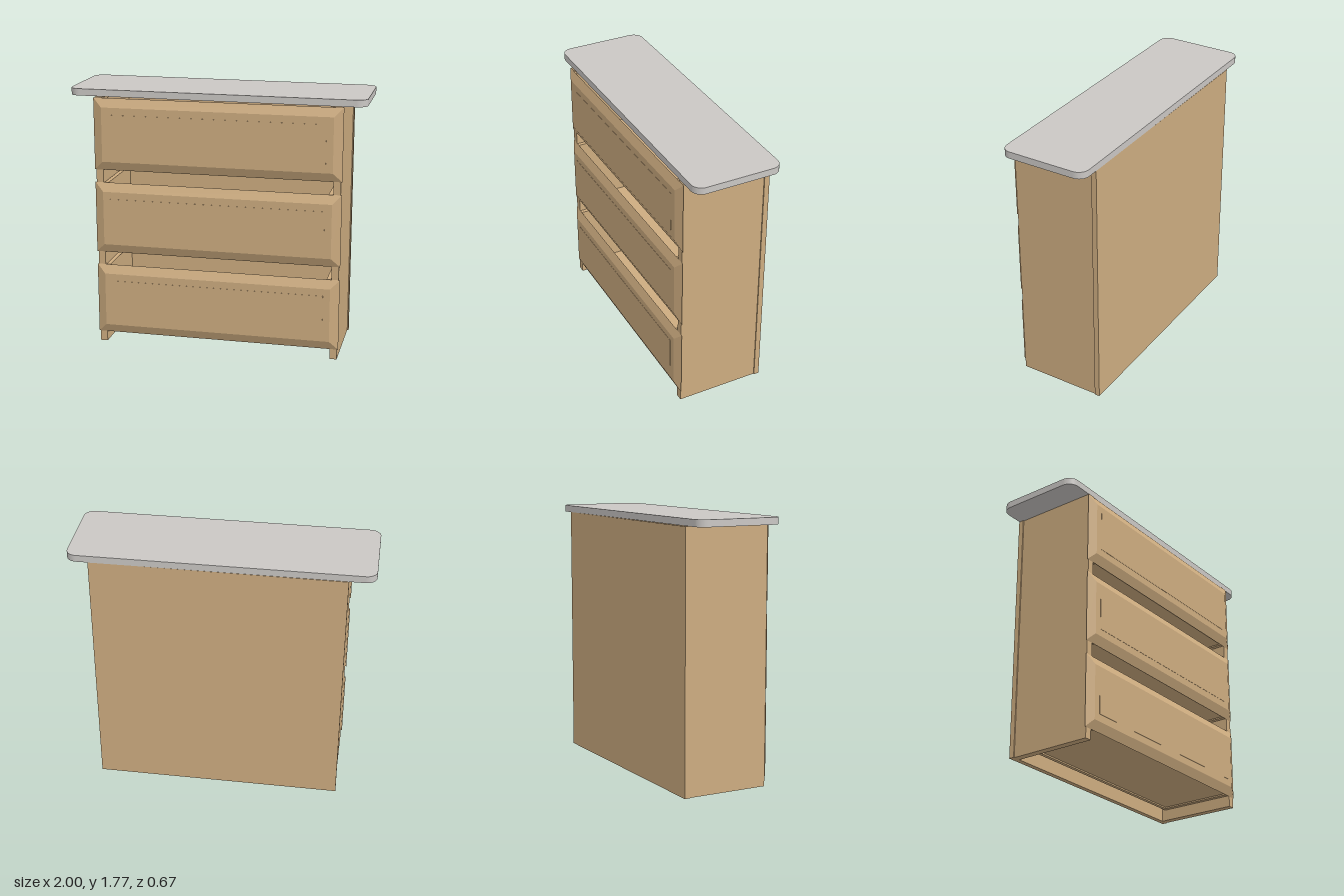
import * as THREE from 'three';

export function createModel() {
  const model = new THREE.Group();
  model.name = 'chestOfDrawers';
  const wood = new THREE.MeshStandardMaterial({ color: 0xcdac80 });
  wood.name = 'wood';
  const stone = new THREE.MeshStandardMaterial({ color: 0xcac7c4 });
  stone.name = 'paleStone';

  // the whole piece stands at a slight turn
  const body = new THREE.Group();
  body.name = 'body';
  body.rotation.y = -0.025;
  model.add(body);

  const CX = 0.0135; // middle of the cabinet

  // box given by its limits
  function board(name, x0, x1, y0, y1, z0, z1, parent = body) {
    const mesh = new THREE.Mesh(new THREE.BoxGeometry(x1 - x0, y1 - y0, z1 - z0), wood);
    mesh.position.set((x0 + x1) / 2, (y0 + y1) / 2, (z0 + z1) / 2);
    mesh.name = name;
    parent.add(mesh);
    return mesh;
  }

  // carcass
  board('rightSide', CX - 0.826, CX - 0.778, 0, 1.716, -0.277, 0.289);
  board('leftSide', CX + 0.778, CX + 0.826, 0, 1.716, -0.277, 0.289);
  board('backPanel', CX - 0.833, CX + 0.833, 0, 1.716, -0.3125, -0.277);

  // bevelled drawer front: the forward corners of a box are drawn inward
  function bevelledFront() {
    const w = 1.67, h = 0.488, d = 0.027, inset = 0.06;
    const g = new THREE.BoxGeometry(w, h, d).toNonIndexed();
    const p = g.attributes.position;
    for (let i = 0; i < p.count; i++) {
      if (p.getZ(i) > 0) {
        p.setX(i, p.getX(i) - Math.sign(p.getX(i)) * inset);
        p.setY(i, p.getY(i) - Math.sign(p.getY(i)) * inset);
      }
    }
    g.computeVertexNormals();
    return g;
  }

  // three drawers with open boxes behind their fronts
  [0.071, 0.649, 1.224].forEach((y) => {
    const drawer = new THREE.Group();
    drawer.name = 'drawer';
    drawer.position.set(CX, y, 0);
    body.add(drawer);

    const front = new THREE.Mesh(bevelledFront(), wood);
    front.name = 'drawerFront';
    front.position.set(0, 0.244, 0.3025);
    drawer.add(front);

    board('drawerPanel', -0.728, 0.728, 0.109, 0.379, 0.315, 0.3175, drawer);
    for (const s of [-1, 1]) {
      const x = s * 0.76;
      board('drawerSide', x - 0.014, x + 0.014, 0.005, 0.486, -0.25, 0.289, drawer);
    }
    board('drawerBack', -0.746, 0.746, 0.005, 0.486, -0.25, -0.225, drawer);
    board('drawerBottom', -0.746, 0.746, 0.015, 0.035, -0.225, 0.289, drawer);
  });

  // countertop with rounded corners
  const W = 0.993, D = 0.298, R = 0.07;
  const outline = new THREE.Shape();
  outline.moveTo(W, -D + R);
  outline.absarc(W - R, D - R, R, 0, Math.PI / 2);
  outline.absarc(-W + R, D - R, R, Math.PI / 2, Math.PI);
  outline.absarc(-W + R, -D + R, R, Math.PI, Math.PI * 1.5);
  outline.absarc(W - R, -D + R, R, Math.PI * 1.5, Math.PI * 2);
  const slab = new THREE.ExtrudeGeometry(outline, { depth: 0.046, bevelEnabled: false, curveSegments: 8 });
  slab.rotateX(-Math.PI / 2);
  const top = new THREE.Mesh(slab, stone);
  top.name = 'countertop';
  top.position.set(0, 1.718, -0.016);
  top.rotation.z = -0.002;
  body.add(top);

  return model;
}
